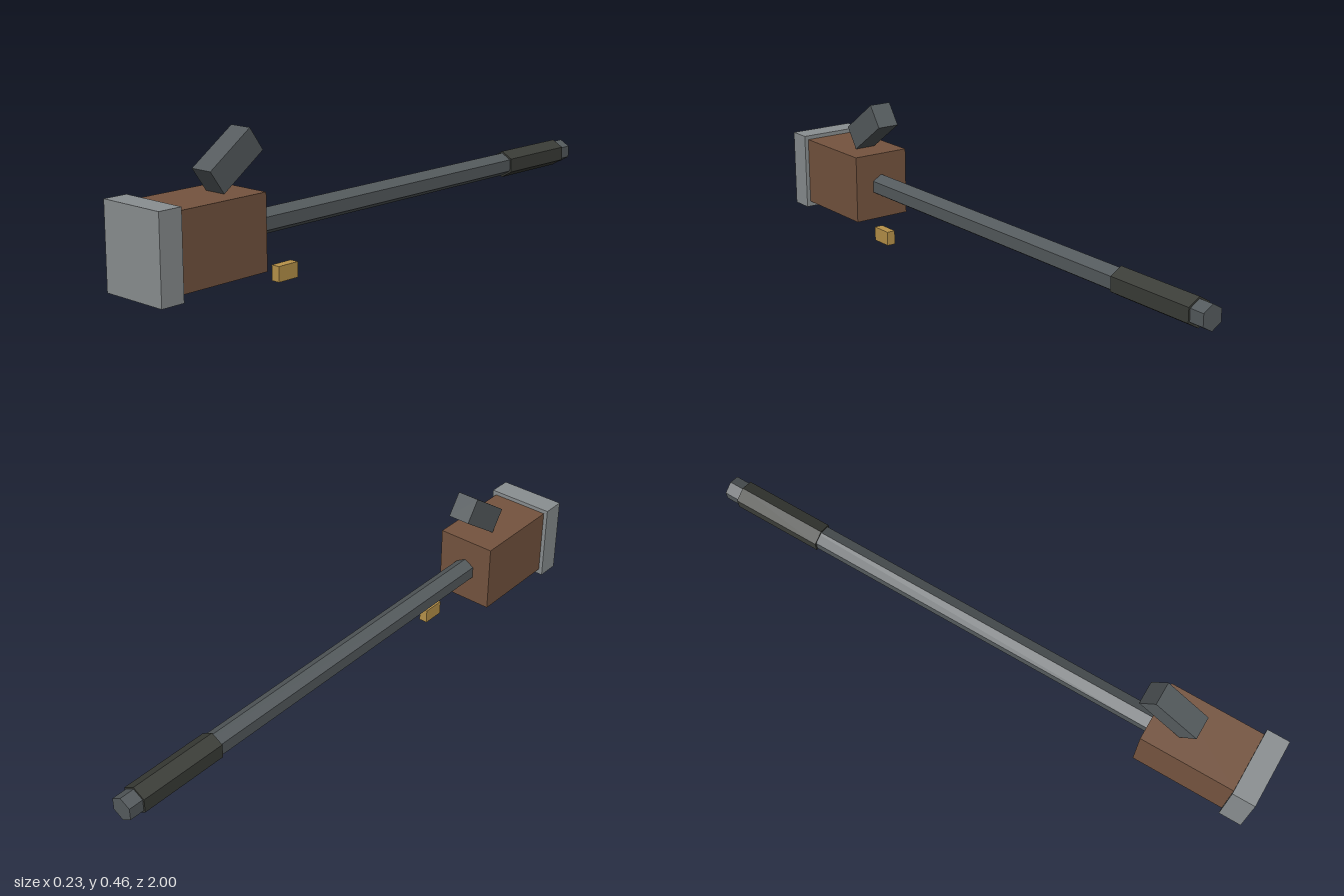
import * as THREE from 'three';

export function createModel() {
  const model = new THREE.Group();
  const mat = (color) => new THREE.MeshStandardMaterial({ color, flatShading: true });
  const steel = mat(0x555b5e);

  function add(name, geometry, material, x, y, z) {
    const mesh = new THREE.Mesh(geometry, material);
    mesh.name = name;
    mesh.position.set(x, y, z);
    model.add(mesh);
    return mesh;
  }

  // Six-sided bar along z, with an edge on top and one underneath
  function hexBar(name, radius, z0, z1, material) {
    const geometry = new THREE.CylinderGeometry(radius, radius, z1 - z0, 6);
    geometry.rotateX(Math.PI / 2);
    return add(name, geometry, material, 0, 0.17, (z0 + z1) / 2);
  }

  // Wooden body with its end plate
  add('body', new THREE.BoxGeometry(0.206, 0.234, 0.325), mat(0x75543f), 0, 0.169, 0.7625);
  add('endPlate', new THREE.BoxGeometry(0.234, 0.267, 0.078), mat(0x8a8f91), 0, 0.1665, 0.961);

  // Long shaft and the sleeve near its far end
  hexBar('shaft', 0.04, -1, 0.62, steel);
  hexBar('sleeve', 0.0465, -0.95, -0.64, mat(0x3b3d38));

  // Tilted block resting on the body
  const lever = add('tiltedBlock', new THREE.BoxGeometry(0.078, 0.087, 0.185), steel, 0, 0.375, 0.65);
  lever.rotation.x = 0.61;

  // Small brass piece below, offset to the left
  add('brassPiece', new THREE.BoxGeometry(0.03, 0.048, 0.078), mat(0xb8934a), 0.062, 0.024, 0.491);

  return model;
}
